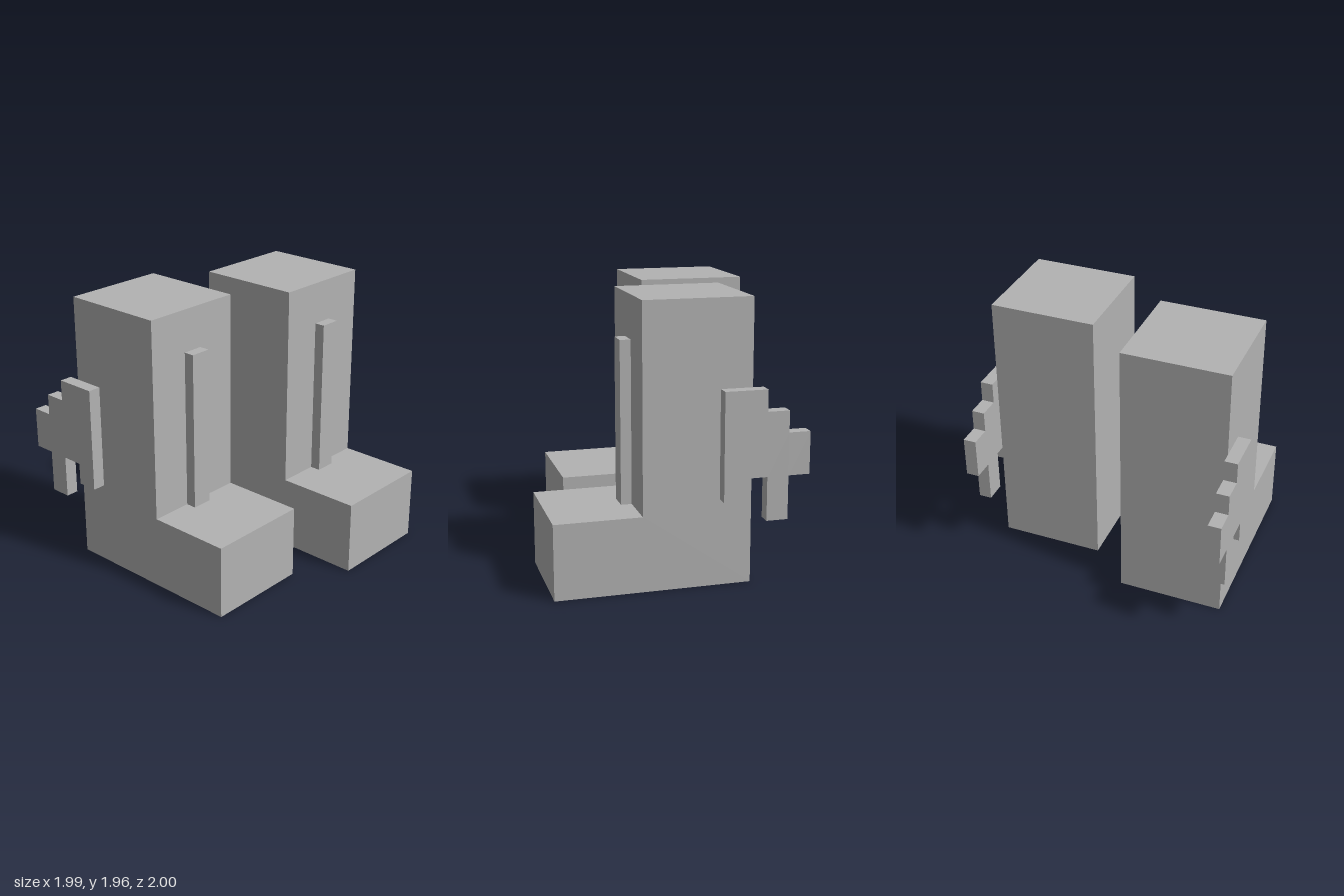
import * as THREE from 'three';

const grey = new THREE.MeshStandardMaterial({ color: 0xb2b2b2 });
grey.name = 'grey';

// Side profile of [z, y] points, extruded from x0 to x1
function slab(name, points, x0, x1) {
  const shape = new THREE.Shape(points.map(([z, y]) => new THREE.Vector2(-z, y)));
  const geometry = new THREE.ExtrudeGeometry(shape, { depth: x1 - x0, bevelEnabled: false });
  geometry.rotateY(Math.PI / 2).translate(x0, 0, 0);
  const mesh = new THREE.Mesh(geometry, grey);
  mesh.name = name;
  return mesh;
}

// Boot: tall square shaft with a low toe
const bootProfile = [
  [1, 0], [1, 0.525], [0.4, 0.525], [0.4, 1.957], [-0.352, 1.957], [-0.352, 0],
];

// Wing: stepped feathers trailing backwards
const wingProfile = [
  [-0.13, 0.605], [-0.13, 1.355], [-0.427, 1.355], [-0.427, 1.205], [-0.58, 1.205],
  [-0.58, 1.055], [-0.73, 1.055], [-0.73, 0.76], [-0.58, 0.76], [-0.58, 0.455],
  [-0.43, 0.455], [-0.43, 0.76], [-0.277, 0.76], [-0.277, 0.605],
];

export function createModel() {
  const model = new THREE.Group();
  model.name = 'wingedBoots';

  for (const side of [1, -1]) {
    const boot = new THREE.Group();
    boot.name = side > 0 ? 'leftBoot' : 'rightBoot';
    const add = (name, profile, a, b) =>
      boot.add(slab(name, profile, Math.min(a * side, b * side), Math.max(a * side, b * side)));

    add('bootBody', bootProfile, 0.15, 0.903);
    add('wing', wingProfile, 0.903, 0.995);

    // Raised strip up the front of the shaft
    const strip = new THREE.Mesh(new THREE.BoxGeometry(0.15, 1.133, 0.075), grey);
    strip.name = 'frontStrip';
    strip.position.set(0.527 * side, 1.0915, 0.4375);
    boot.add(strip);

    // The right boot stands a step behind the left
    if (side < 0) boot.position.z = -0.27;
    model.add(boot);
  }
  return model;
}
